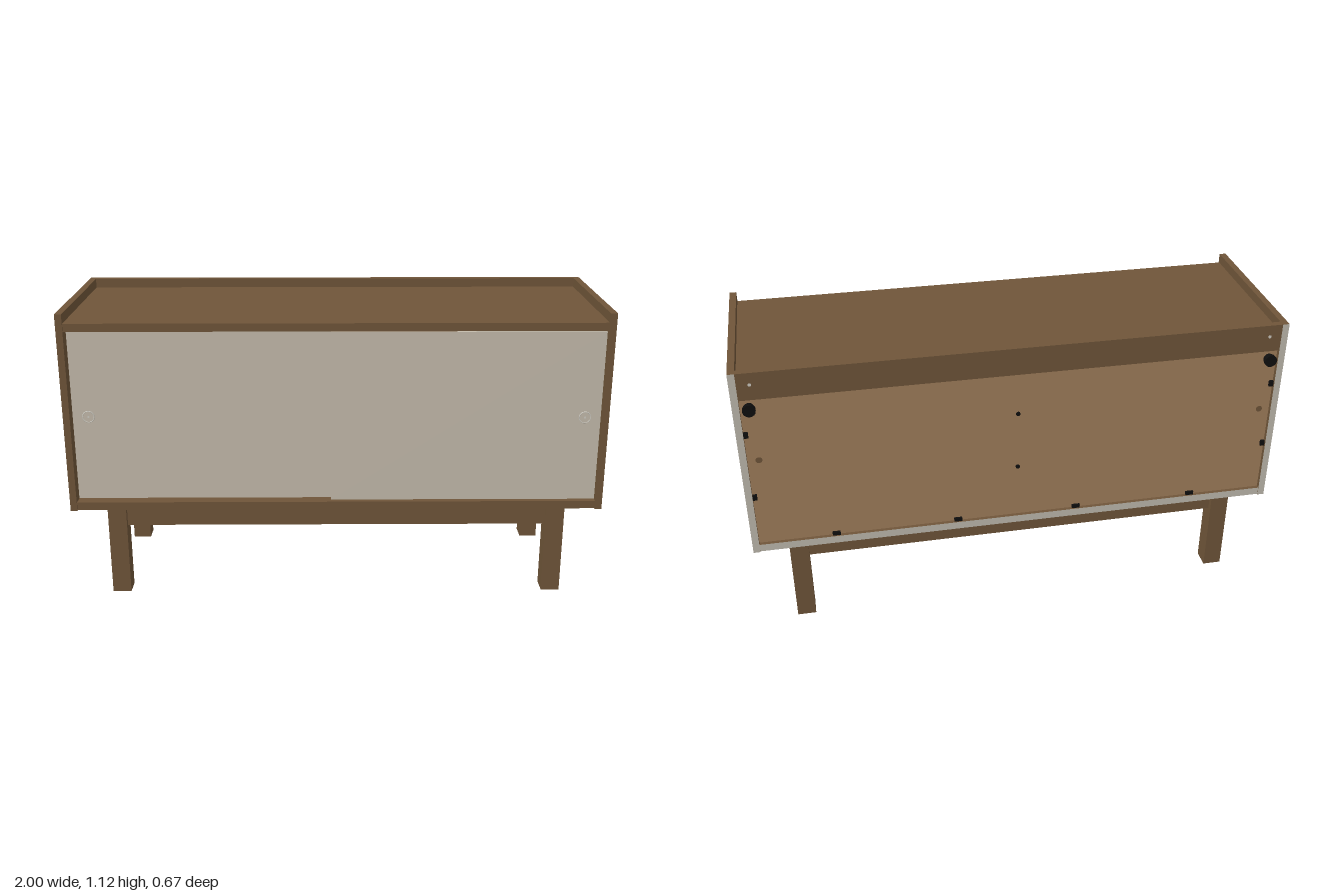
import * as THREE from 'three';

export function createModel() {
  const model = new THREE.Group();
  const mat = (name, color) => {
    const m = new THREE.MeshStandardMaterial({ color });
    m.name = name;
    return m;
  };
  const wood = mat('brown wood', 0x6f5539);
  const backing = mat('light brown backing', 0xa17e5b);
  const rawEdge = mat('raw board edge', 0xc0bbaf);
  const paint = mat('beige door paint', 0xc4bbab);
  const metal = mat('pale metal', 0xcfccc3);
  const black = mat('black plastic', 0x0e0e0e);

  const add = (name, geometry, material, x, y, z, parent = model) => {
    const mesh = new THREE.Mesh(geometry, material);
    mesh.name = name;
    mesh.position.set(x, y, z);
    parent.add(mesh);
    return mesh;
  };
  // Box given by its minimum and maximum on each axis
  const box = (name, material, x0, x1, y0, y1, z0, z1) =>
    add(name, new THREE.BoxGeometry(x1 - x0, y1 - y0, z1 - z0), material,
      (x0 + x1) / 2, (y0 + y1) / 2, (z0 + z1) / 2);
  // Cylinder lying along z
  const disc = (name, material, r, depth, x, y, z) =>
    add(name, new THREE.CylinderGeometry(r, r, depth, 24).rotateX(Math.PI / 2), material, x, y, z);

  // Carcass: box material order is +x, -x, +y, -y, +z, -z
  const sideMats = [wood, wood, wood, rawEdge, wood, rawEdge];
  box('leftSidePanel', sideMats, 0.975, 1, 0.36, 1.115, -0.32, 0.335);
  box('rightSidePanel', sideMats, -1, -0.975, 0.36, 1.115, -0.32, 0.335);
  box('topPanel', wood, -0.975, 0.975, 1.05, 1.08, -0.295, 0.33);
  box('bottomPanel', [wood, wood, wood, wood, wood, rawEdge], -0.975, 0.975, 0.362, 0.392, -0.318, 0.33);
  box('backRail', wood, -0.975, 0.975, 1.01, 1.115, -0.32, -0.295);
  box('backPanel', backing, -0.975, 0.975, 0.392, 1.05, -0.304, -0.296);
  box('middleDivider', wood, -0.0125, 0.0125, 0.392, 1.05, -0.296, 0.25);

  // Sliding doors, the left one running in front
  box('rightDoor', paint, -0.973, 0.02, 0.396, 1.045, 0.277, 0.295);
  box('leftDoor', paint, -0.02, 0.973, 0.396, 1.045, 0.3, 0.318);
  for (const [x, z] of [[-0.915, 0.295], [0.915, 0.318]]) {
    add('doorPullRing', new THREE.TorusGeometry(0.021, 0.002, 8, 32), metal, x, 0.72, z);
    disc('doorPullCup', paint, 0.02, 0.002, x, 0.72, z);
    disc('doorPullScrew', metal, 0.004, 0.004, x, 0.72, z);
  }

  // Legs, foot pads, side aprons and corner brackets
  const frontZ = 0.26, backZ = -0.245;
  for (const s of [-1, 1]) {
    for (const z of [frontZ, backZ]) {
      add('leg', new THREE.BoxGeometry(0.07, 0.36, 0.07), wood, s * 0.835, 0.182, z);
      add('footPad', new THREE.CylinderGeometry(0.012, 0.012, 0.004, 20), black, s * 0.835, 0.002, z);

      const bracket = new THREE.Group();
      bracket.name = 'cornerBracket';
      const zs = Math.sign(z);
      bracket.position.set(s * 0.775, 0.318, z - zs * 0.06);
      bracket.rotation.y = Math.atan2(-s, -zs);
      add('bracketPlate', new THREE.BoxGeometry(0.11, 0.06, 0.006), metal, 0, 0, 0, bracket);
      add('bracketBolt', new THREE.CylinderGeometry(0.009, 0.009, 0.012, 6).rotateX(Math.PI / 2),
        metal, 0, 0, 0.007, bracket);
      model.add(bracket);
      // Bracket flanges fixed to the aprons
      add('bracketSideFlange', new THREE.BoxGeometry(0.004, 0.06, 0.035), metal,
        s * 0.817, 0.318, z - zs * 0.115);
      add('bracketLongFlange', new THREE.BoxGeometry(0.035, 0.06, 0.004), metal,
        s * 0.72, 0.318, z - zs * 0.018);
    }
    add('sideApron', new THREE.BoxGeometry(0.03, 0.086, 0.435), wood, s * 0.835, 0.318, 0.0075);
  }
  for (const z of [frontZ, backZ]) {
    add('longApron', new THREE.BoxGeometry(1.6, 0.086, 0.03), wood, 0, 0.318, z);
    for (const x of [-0.45, 0.1]) {
      disc('apronBolt', metal, 0.008, 0.004, x, 0.318, z - Math.sign(z) * 0.016);
    }
  }

  // Wall spacers, clips and screws on the back
  for (const s of [-1, 1]) {
    disc('wallSpacer', black, 0.018, 0.014, s * 0.943, 0.973, -0.311);
    disc('wallSpacerCap', black, 0.023, 0.014, s * 0.943, 0.973, -0.325);
    disc('railScrew', metal, 0.006, 0.002, s * 0.93, 1.07, -0.3205);
    disc('cableHole', wood, 0.012, 0.002, s * 0.935, 0.755, -0.3045);
    for (const y of [0.6, 0.865]) {
      add('sideClip', new THREE.BoxGeometry(0.016, 0.022, 0.01), black, s * 0.967, y, -0.308);
    }
    for (const x of [0.23, 0.69]) {
      add('bottomClip', new THREE.BoxGeometry(0.03, 0.016, 0.01), black, s * x, 0.398, -0.308);
    }
  }
  for (const y of [0.61, 0.84]) disc('backScrew', black, 0.008, 0.006, 0, y, -0.306);

  return model;
}
